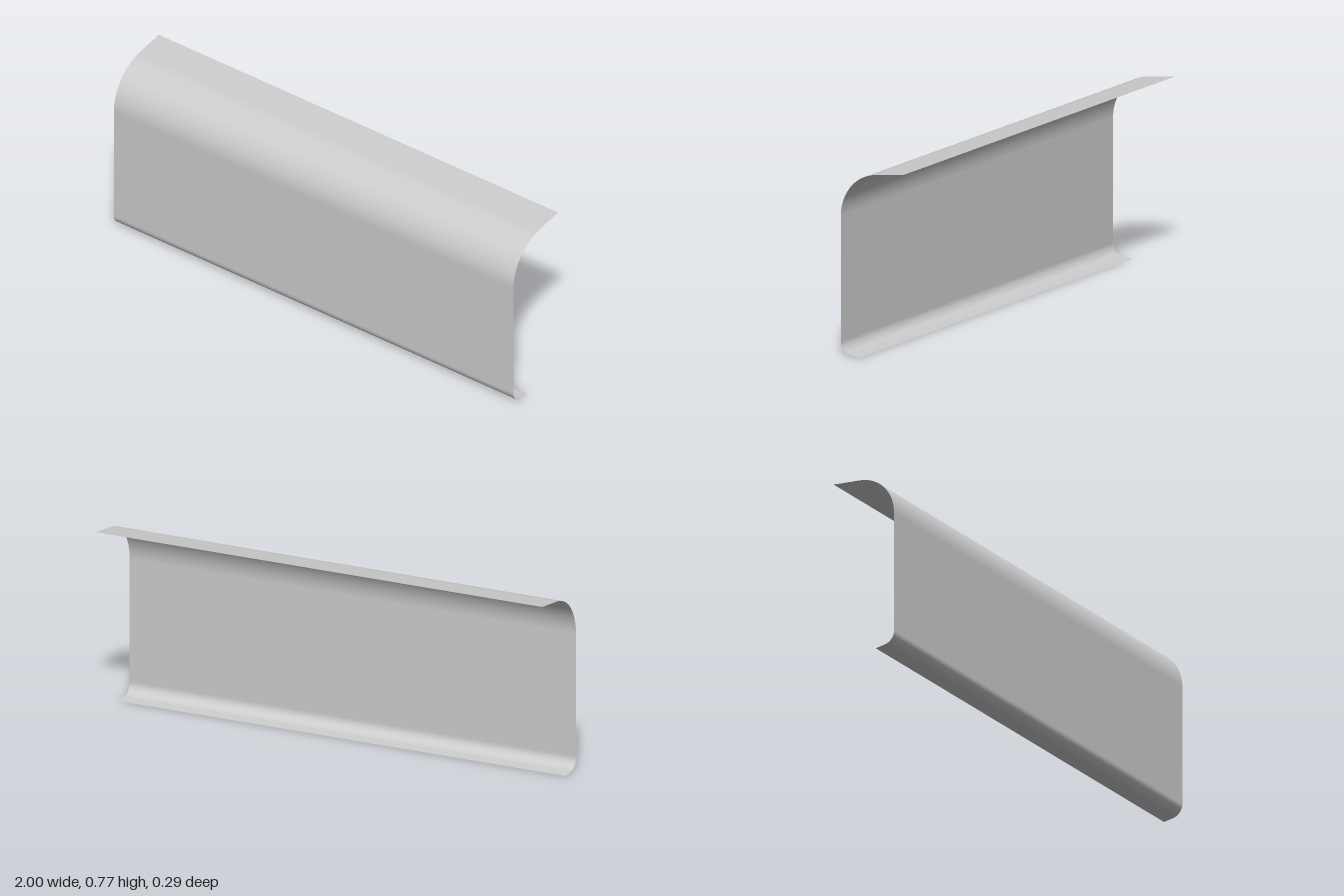
import * as THREE from 'three';

const FRONT = 0.147, BACK = -0.147, LIP = 0.058;
const BEND = THREE.MathUtils.degToRad(83); // each bend stops short of square
const STEPS = 20;

// Cross-section from the rear top edge to the lower lip: [z, y, normal angle]
function profile() {
  const rTop = 0.19, yTop = 0.57, rLow = 0.05, yLow = 0.055;
  const rows = [];
  const bend = (r, y, a) => [FRONT - r + r * Math.cos(a), y + r * Math.sin(a), a];
  const slope = 1 / Math.tan(BEND);

  // upper bend, running down into the flat front
  for (let i = 0; i <= STEPS; i++) rows.push(bend(rTop, yTop, BEND * (1 - i / STEPS)));
  // lower bend, turning back underneath
  for (let i = 0; i <= STEPS; i++) rows.push(bend(rLow, yLow, -BEND * i / STEPS));

  // straight flanges continue both bends along their tangents
  const [z0, y0] = rows[0], [z1, y1] = rows[rows.length - 1];
  rows.unshift([BACK, y0 + (z0 - BACK) * slope, BEND]);
  rows.push([LIP, Math.max(0, y1 - (z1 - LIP) * slope), -BEND]);
  return rows;
}

export function createModel() {
  const rows = profile();
  const geometry = new THREE.PlaneGeometry(2, 1, 1, rows.length - 1);
  const { position, normal } = geometry.attributes;

  // wrap the plane's rows around the cross-section
  rows.forEach(([z, y, a], row) => {
    for (let side = 0; side < 2; side++) {
      const i = row * 2 + side;
      position.setXYZ(i, side ? 1 : -1, y, z);
      normal.setXYZ(i, 0, Math.sin(a), Math.cos(a));
    }
  });

  const panel = new THREE.Mesh(
    geometry,
    new THREE.MeshStandardMaterial({ color: 0xcccccc, side: THREE.DoubleSide })
  );
  panel.name = 'bentPanel';

  const group = new THREE.Group();
  group.name = 'curvedSheet';
  group.add(panel);
  return group;
}
